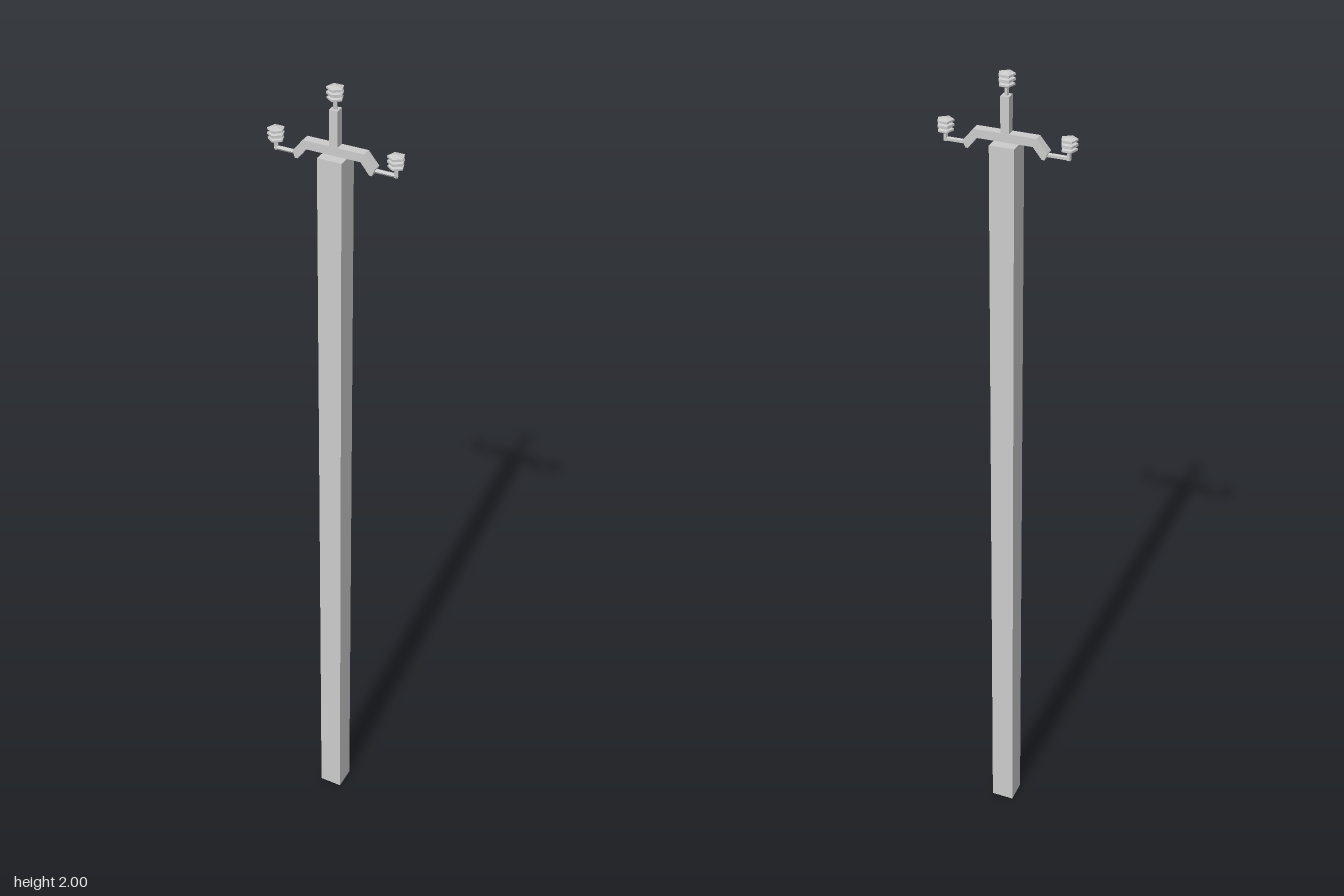
import * as THREE from 'three';

export function createModel() {
  const root = new THREE.Group();
  root.name = 'utilityPole';
  const mat = new THREE.MeshStandardMaterial({ color: 0xcccccc, flatShading: true });

  const add = (name, geo, x = 0, y = 0, z = 0, parent = root) => {
    const mesh = new THREE.Mesh(geo, mat);
    mesh.name = name;
    mesh.position.set(x, y, z);
    parent.add(mesh);
    return mesh;
  };

  // Square pole and the short post on top of it
  add('pole', new THREE.BoxGeometry(0.056, 1.847, 0.056), 0, 0.9235, 0);
  add('topPost', new THREE.BoxGeometry(0.019, 0.085, 0.021), 0, 1.907, 0);

  // Crossarm with ends bent downwards
  const half = [[0.07, 1.87], [0.094, 1.841], [0.088, 1.826], [0.082, 1.826], [0.062, 1.851]];
  const outline = [...half, ...half.map(([x, y]) => [-x, y]).reverse()];
  const armShape = new THREE.Shape(outline.map(([x, y]) => new THREE.Vector2(x, y)));
  add('crossarm', new THREE.ExtrudeGeometry(armShape, { depth: 0.022, bevelEnabled: false }), 0, 0, -0.011);

  // Five-sided ribbed insulator: stacked discs with a shallow pointed cap
  const profile = [
    [0, 0], [0.012, 0], [0.018, 0.003], [0.018, 0.007], [0.012, 0.009],
    [0.012, 0.011], [0.019, 0.013], [0.019, 0.018], [0.012, 0.020],
    [0.012, 0.022], [0.019, 0.024], [0.019, 0.028], [0, 0.032],
  ].map(([r, y]) => new THREE.Vector2(r, y));
  const insulatorGeo = new THREE.LatheGeometry(profile, 5);

  add('topPin', new THREE.CylinderGeometry(0.005, 0.005, 0.026, 5), 0, 1.959, 0);
  add('topInsulator', insulatorGeo, 0, 1.968, 0);

  // Bent pin and insulator at each end of the crossarm
  for (const s of [1, -1]) {
    const side = new THREE.Group();
    side.name = s > 0 ? 'leftInsulatorGroup' : 'rightInsulatorGroup';
    root.add(side);
    const rod = add('sidePin', new THREE.CylinderGeometry(0.005, 0.005, 0.055, 5), s * 0.1125, 1.834, 0, side);
    rod.rotation.z = Math.PI / 2;
    add('pinRiser', new THREE.CylinderGeometry(0.005, 0.005, 0.024, 5), s * 0.137, 1.842, 0, side);
    add('sideInsulator', insulatorGeo, s * 0.137, 1.849, 0, side);
  }
  return root;
}
